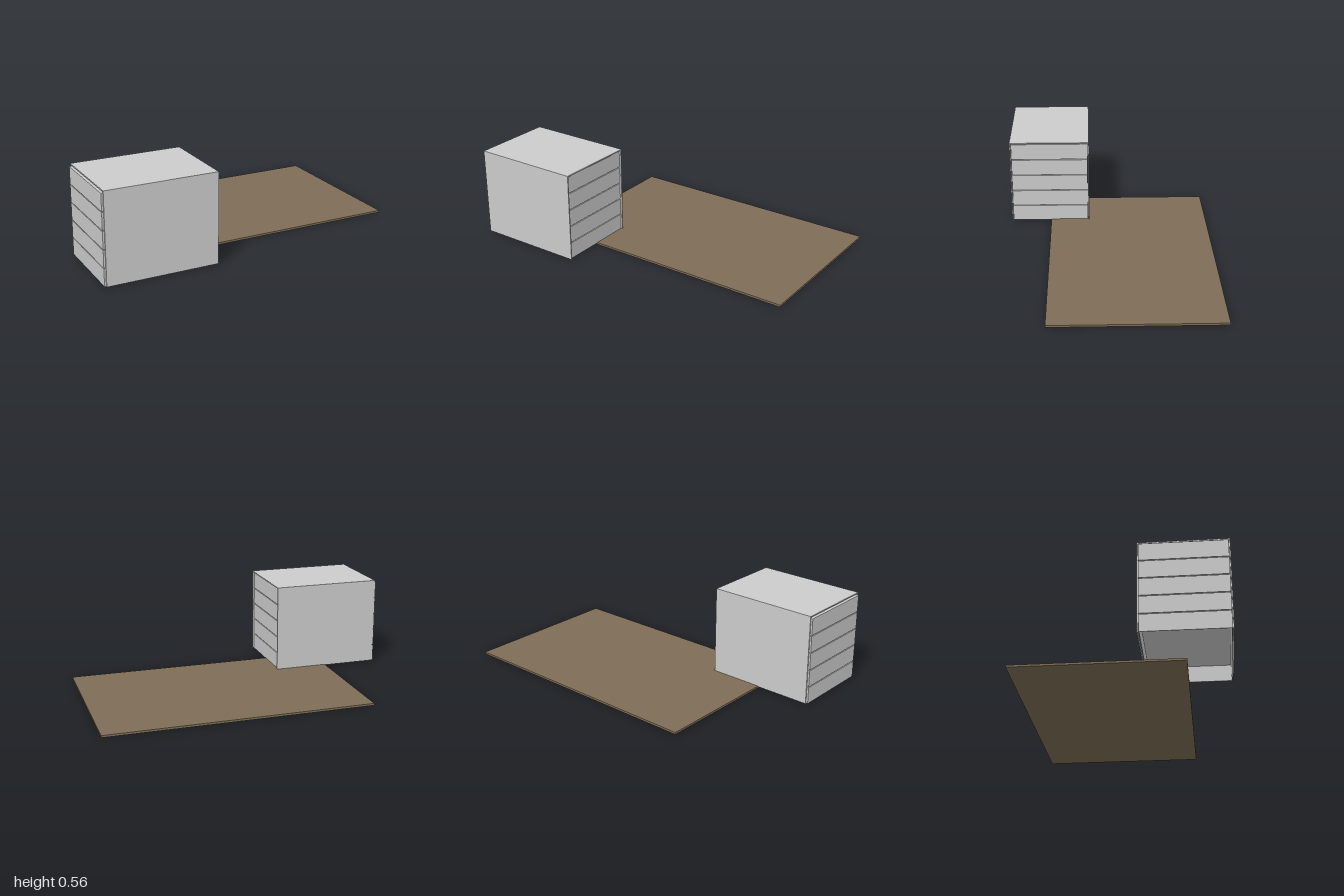
import * as THREE from 'three';

const grey = new THREE.MeshStandardMaterial({ color: 0xcccccc });
grey.name = 'light grey';
const brown = new THREE.MeshStandardMaterial({ color: 0x7f6e57 });
brown.name = 'wood brown';

// Box given by its lower and upper corners
function slab(name, material, [x0, y0, z0], [x1, y1, z1]) {
  const mesh = new THREE.Mesh(new THREE.BoxGeometry(x1 - x0, y1 - y0, z1 - z0), material);
  mesh.position.set((x0 + x1) / 2, (y0 + y1) / 2, (z0 + z1) / 2);
  mesh.name = name;
  return mesh;
}

// Hollow box with four walls and a top, open underneath
function drawer([x0, y0, z0], [x1, y1, z1], t) {
  const group = new THREE.Group();
  group.name = 'drawer';
  group.add(
    slab('drawerFront', grey, [x0, y0, z0], [x0 + t, y1, z1]),
    slab('drawerBack', grey, [x1 - t, y0, z0], [x1, y1, z1]),
    slab('drawerSide', grey, [x0 + t, y0, z0], [x1 - t, y1, z0 + t]),
    slab('drawerSide', grey, [x0 + t, y0, z1 - t], [x1 - t, y1, z1]),
    slab('drawerTop', grey, [x0 + t, y1 - t, z0 + t], [x1 - t, y1, z1 - t])
  );
  return group;
}

export function createModel() {
  const model = new THREE.Group();
  model.name = 'boardAndDrawerCabinet';

  // Flat board on the ground
  model.add(slab('board', brown, [-0.646, 0, -0.644], [1, 0.013, 0.383]));

  // Cabinet shell: two sides and a top, open at both ends and below
  const cabinet = new THREE.Group();
  cabinet.name = 'cabinet';
  const x0 = -0.99, x1 = -0.308, y0 = 0.009, y1 = 0.564, z0 = 0.13, z1 = 0.644, t = 0.007;
  cabinet.add(
    slab('cabinetTop', grey, [x0, y1 - t, z0], [x1, y1, z1]),
    slab('cabinetSide', grey, [x0, y0, z0], [x1, y1 - t, z0 + t]),
    slab('cabinetSide', grey, [x0, y0, z1 - t], [x1, y1 - t, z1])
  );

  // Five drawers, pushed out slightly past the shell
  for (let i = 0; i < 5; i++) {
    const y = 0.0095 + i * 0.109;
    cabinet.add(drawer([-1, y, 0.139], [-0.318, y + 0.104, 0.635], 0.004));
  }
  model.add(cabinet);
  return model;
}
